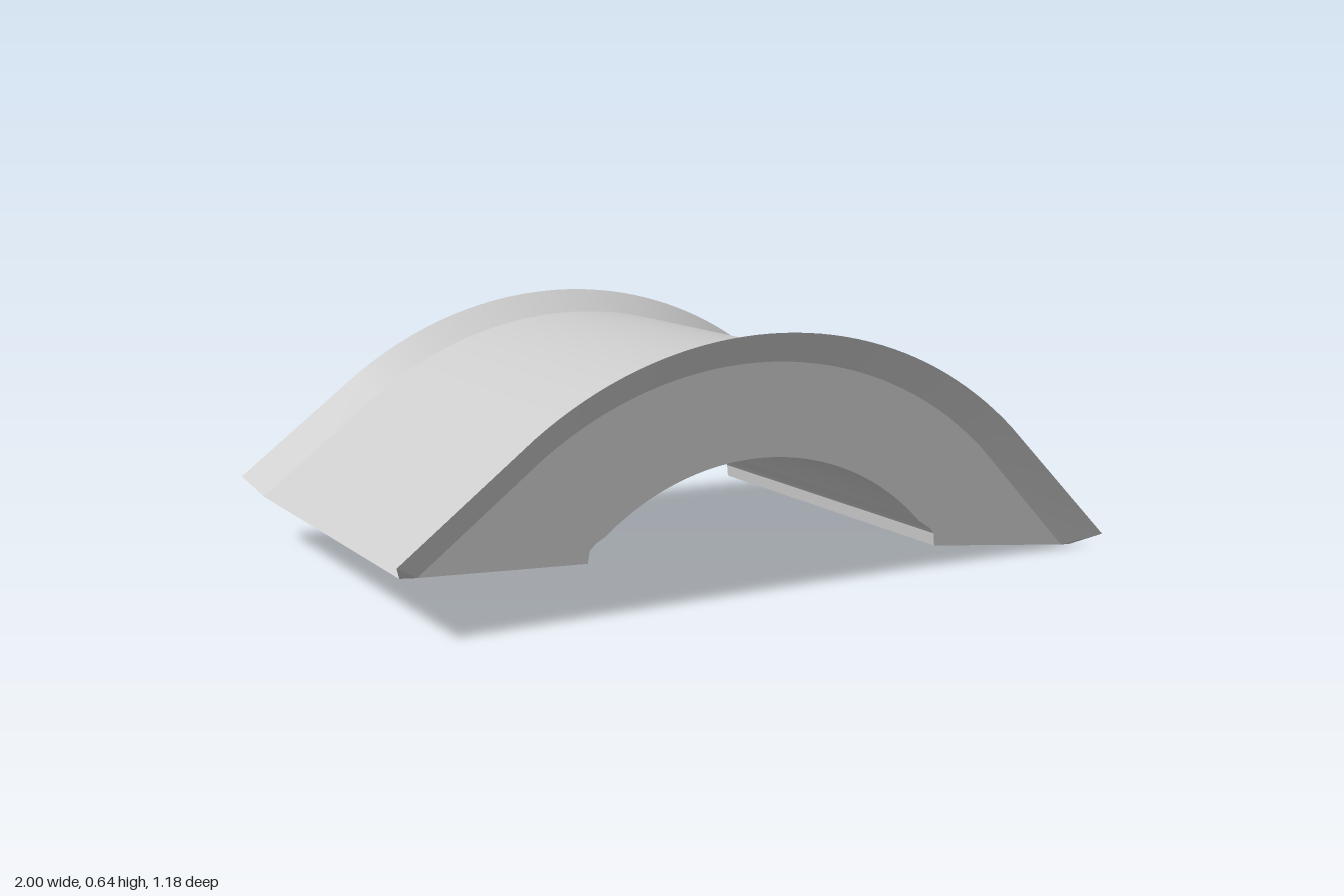
import * as THREE from 'three';
import { toCreasedNormals } from 'three/addons/utils/BufferGeometryUtils.js';

const CX = -0.04;                 // x of the crown of the arch
const FACE_Z = 0.53, ROOT_Z = 0.51, TIP_Z = 0.59;

// arc around the crown, sampled left to right
function arc(peak, radius, from, to, n) {
  const pts = [];
  for (let i = 0; i <= n; i++) {
    const a = from + (to - from) * i / n;
    pts.push([CX + radius * Math.sin(a), peak - radius * (1 - Math.cos(a))]);
  }
  return pts;
}

// arch with a straight leg on either side
const arch = (left, peak, radius, right) => [left, ...arc(peak, radius, -0.628, 0.75, 40), right];

// surface through rows of [x, y, z] points
function loft(rows) {
  const w = rows[0].length, index = [];
  for (let i = 0; i < rows.length - 1; i++) {
    for (let j = 0; j < w - 1; j++) {
      const a = i * w + j, b = a + w, c = b + 1, d = a + 1;
      index.push(a, b, c, a, c, d);
    }
  }
  const geo = new THREE.BufferGeometry();
  geo.setAttribute('position', new THREE.Float32BufferAttribute(rows.flat(2), 3));
  geo.setIndex(index);
  return toCreasedNormals(geo, 0.4);
}

export function createModel() {
  const group = new THREE.Group();
  const material = new THREE.MeshStandardMaterial({ color: 0xcccccc });
  const add = (name, geo) => {
    const mesh = new THREE.Mesh(geo, material);
    mesh.name = name;
    group.add(mesh);
  };

  // three nested arches: rim tip, top surface and upper edge of the end face
  const tip = arch([-1, 0.18], 0.642, 1.06, [1, 0.04]);
  const root = arch([-0.965, 0.135], 0.585, 1.005, [0.955, 0]);
  const face = arch([-0.93, 0.137], 0.565, 0.985, [0.91, 0.008]);

  // underside profile: flat feet, small shoulders and the inner arch
  const under = [
    face[0], [-0.505, 0.12], [-0.5, 0.15], [-0.485, 0.165],
    ...arc(0.33, 0.66, -0.69, 0.815, 32),
    [0.475, 0.1], [0.487, 0.085], [0.49, 0.052], face[face.length - 1],
  ];

  // top surface with a flared rim at both ends
  add('archTop', loft(tip.map((t, i) => [
    [...face[i], FACE_Z], [...t, TIP_Z], [...root[i], ROOT_Z],
    [...root[i], -ROOT_Z], [...t, -TIP_Z], [...face[i], -FACE_Z],
  ])));

  // underside
  add('archUnderside', loft(under.map((p) => [[...p, -FACE_Z], [...p, FACE_Z]])));

  // closing strips along the two long edges
  for (const side of ['right', 'left']) {
    const k = side === 'right' ? 0 : tip.length - 1;
    const inner = [FACE_Z, FACE_Z, -FACE_Z, -FACE_Z].map((z) => [...face[k], z]);
    const outer = [
      [...tip[k], TIP_Z], [...root[k], ROOT_Z], [...root[k], -ROOT_Z], [...tip[k], -TIP_Z],
    ];
    add(side + 'EdgeStrip', loft(k === 0 ? [inner, outer] : [outer, inner]));
  }

  // flat end faces
  const outline = [...under, ...face.slice(1, -1).reverse()];
  const shape = new THREE.Shape(outline.map(([x, y]) => new THREE.Vector2(x, y)));
  const front = new THREE.ShapeGeometry(shape);
  const back = front.clone();
  back.index.array.reverse();
  back.computeVertexNormals();
  add('frontFace', front.translate(0, 0, FACE_Z));
  add('backFace', back.translate(0, 0, -FACE_Z));

  return group;
}
